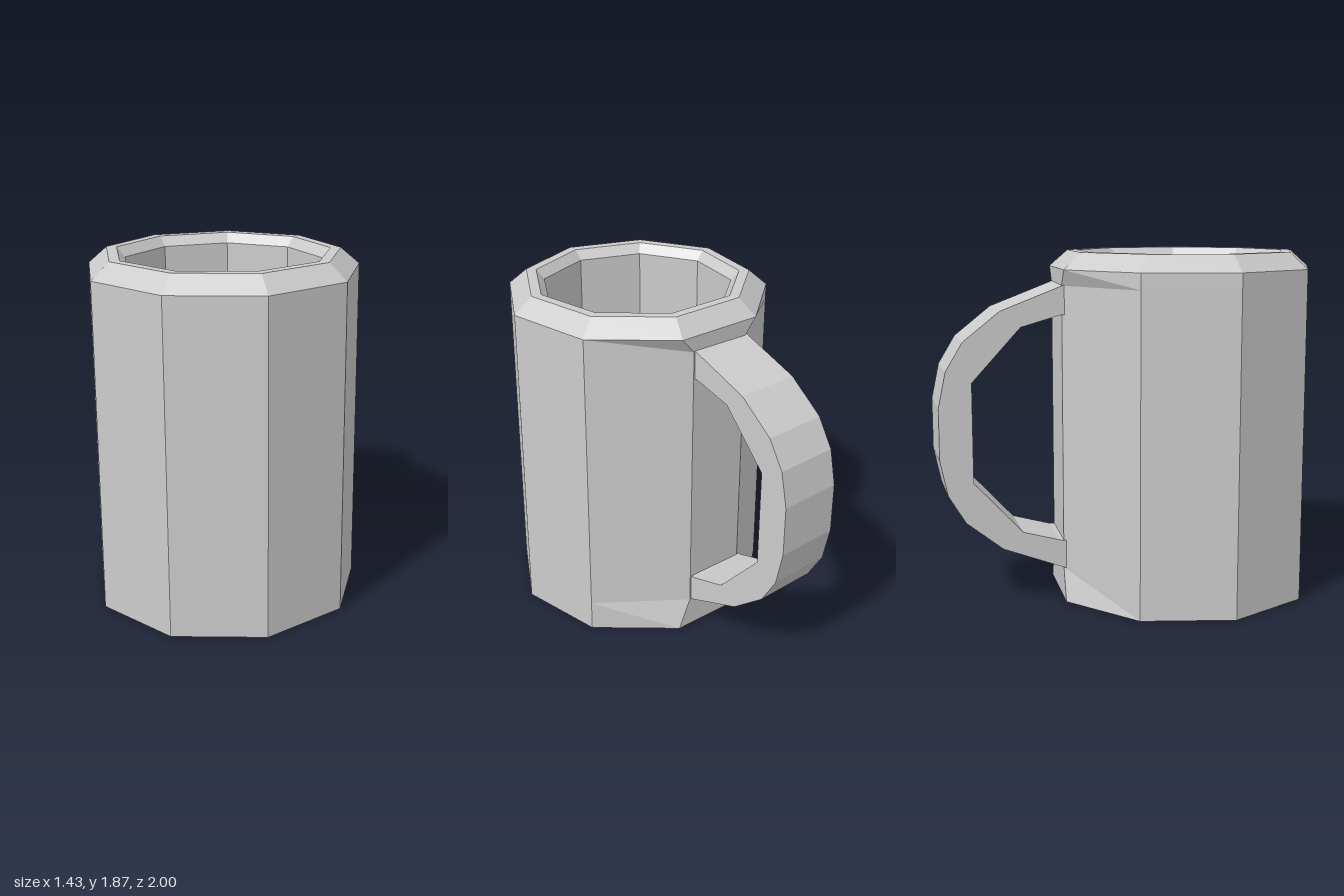
import * as THREE from 'three';

const SIDES = 9;
const CENTRE_Z = 0.317;
const material = new THREE.MeshStandardMaterial({ color: 0xcccccc, flatShading: true });

function facetedMesh(geometry, name) {
  const flat = geometry.index ? geometry.toNonIndexed() : geometry;
  flat.computeVertexNormals();
  const mesh = new THREE.Mesh(flat, material);
  mesh.name = name;
  return mesh;
}

// Nine-sided cup with a bevelled rim and hollow inside
function createCup() {
  const profile = [
    [0, 0.005], [0.727, 0.01], [0.727, 0.18], [0.727, 1.70], [0.727, 1.785],
    [0.626, 1.872], [0.57, 1.872], [0.525, 1.82], [0.525, 0.14], [0, 0.14],
  ].map(([r, y]) => new THREE.Vector2(r, y));
  const geometry = new THREE.LatheGeometry(profile, SIDES, Math.PI);

  // Pinch the back corners in to the width of the handle's roots
  const pos = geometry.attributes.position;
  const pinch = (column, x, z) => {
    for (const row of [2, 3]) {
      const i = column * profile.length + row;
      pos.setX(i, x);
      pos.setZ(i, z - CENTRE_Z);
    }
  };
  pinch(0, -0.07, -0.385);
  pinch(SIDES, -0.07, -0.385);
  pinch(1, -0.4, -0.265);

  const cup = facetedMesh(geometry, 'cup');
  cup.position.z = CENTRE_Z;
  return cup;
}

// C-shaped handle: half profiles mirrored about its middle height
function createHandle() {
  const middle = 0.943;
  const outer = [[-0.04, 0.775], [0.0, 0.76], [0.335, 0.632], [0.53, 0.477], [0.62, 0.327], [0.66, 0.137]];
  const inner = [[-0.04, 0.61], [0.02, 0.605], [0.227, 0.547], [0.486, 0.265]];
  const down = (pts) => pts.map(([u, h]) => [u, -h]).reverse();
  const outline = [...outer, ...down(outer), ...inner.map(([u, h]) => [u, -h]), ...[...inner].reverse()];
  const shape = new THREE.Shape(outline.map(([u, h]) => new THREE.Vector2(u, middle + h)));
  const geometry = new THREE.ExtrudeGeometry(shape, { depth: 0.36, bevelEnabled: false });

  const handle = facetedMesh(geometry, 'handle');
  handle.rotation.y = 1.96;
  handle.position.set(-0.413, 0, -0.253);
  return handle;
}

export function createModel() {
  const mug = new THREE.Group();
  mug.name = 'mug';
  mug.add(createCup(), createHandle());
  return mug;
}
